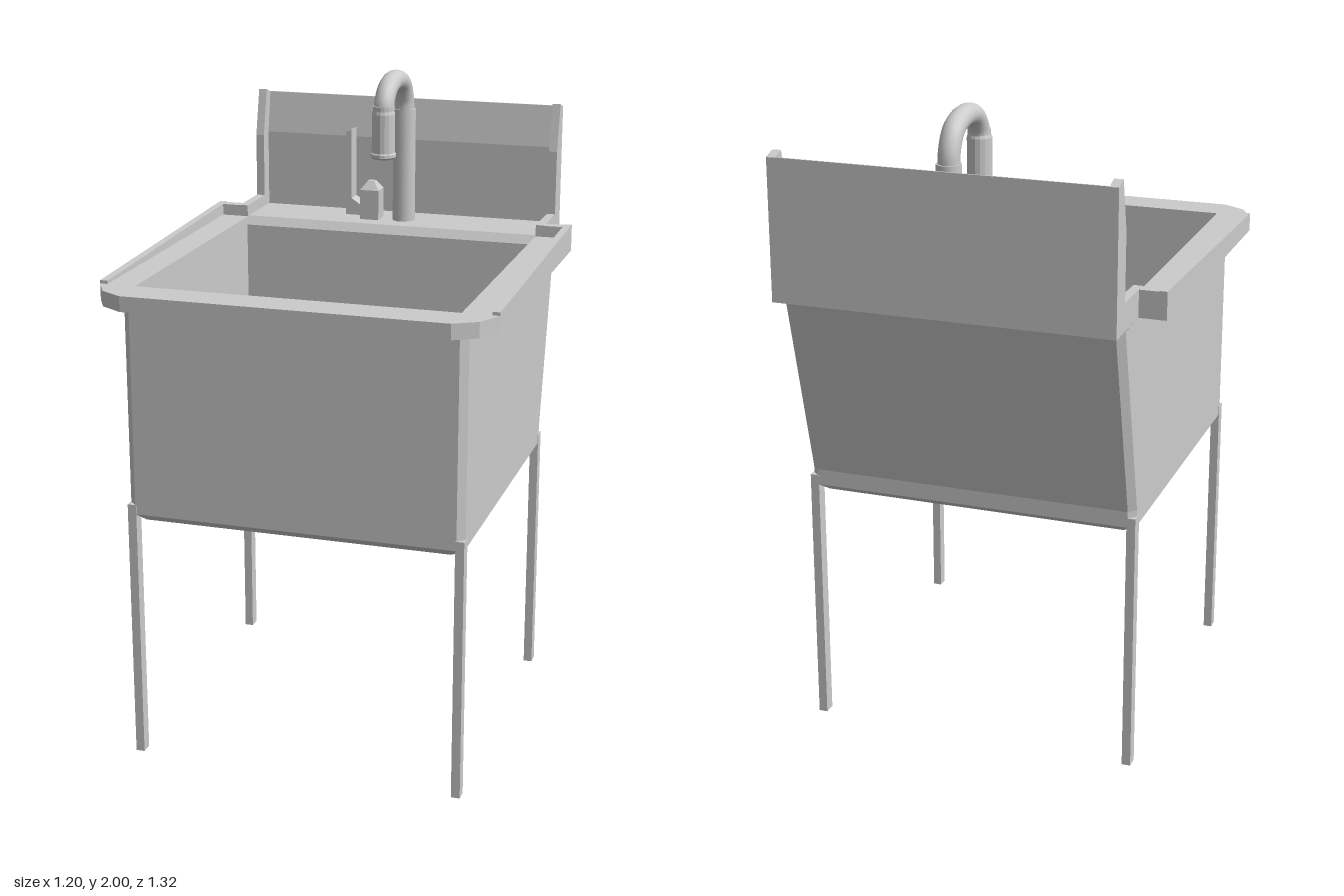
import * as THREE from 'three';

const mat = new THREE.MeshStandardMaterial({ color: 0xcccccc, flatShading: true });
const thin = new THREE.MeshStandardMaterial({ color: 0xcccccc, flatShading: true, side: THREE.DoubleSide });
const smooth = new THREE.MeshStandardMaterial({ color: 0xcccccc });
const TOP = 1.487, LOW = 1.44;

export function createModel() {
  const model = new THREE.Group();
  const add = (name, geo, m = mat) => {
    const mesh = new THREE.Mesh(geo, m);
    mesh.name = name;
    model.add(mesh);
    return mesh;
  };
  const shapeOf = pts => new THREE.Shape(pts.map(p => new THREE.Vector2(...p)));

  // side profile of [z, y] points swept from x0 to x1
  const prism = (pts, x0, x1) =>
    new THREE.ExtrudeGeometry(shapeOf(pts), { depth: x1 - x0, bevelEnabled: false })
      .rotateY(-Math.PI / 2).translate(x1, 0, 0);
  const box = (x0, x1, y0, y1, z0, z1) =>
    new THREE.BoxGeometry(x1 - x0, y1 - y0, z1 - z0)
      .translate((x0 + x1) / 2, (y0 + y1) / 2, (z0 + z1) / 2);
  const triangles = list => {
    const g = new THREE.BufferGeometry();
    g.setAttribute('position', new THREE.Float32BufferAttribute(list.flat(), 3));
    g.computeVertexNormals();
    return g;
  };

  // outer tub: chamfered rectangles lofted upwards, sloping at the back
  const ring = ([y, w, front, back]) => {
    const c = 0.022;
    return [[w, front - c], [w, back + c], [w - c, back], [c - w, back],
      [-w, back + c], [-w, front - c], [c - w, front], [w - c, front]].map(([x, z]) => [x, y, z]);
  };
  const rings = [[0.765, 0.495, 0.555, -0.41], [0.79, 0.518, 0.585, -0.445],
    [0.84, 0.518, 0.585, -0.445], [LOW, 0.518, 0.585, -0.6]].map(ring);
  const tub = [];
  for (let k = 0; k < rings.length - 1; k++) {
    for (let i = 0; i < 8; i++) {
      const j = (i + 1) % 8, a = rings[k], b = rings[k + 1];
      tub.push(a[i], a[j], b[j], a[i], b[j], b[i]);
    }
  }
  for (let i = 1; i < 7; i++) tub.push(rings[0][0], rings[0][i + 1], rings[0][i]);
  add('tubShell', triangles(tub), thin);

  // inner basin walls
  const FLOOR = 0.81, DIP = 0.78;
  const corners = [[0.49, 0.545], [0.49, -0.41], [-0.49, -0.41], [-0.49, 0.545]];
  const walls = [];
  corners.forEach(([x, z], i) => {
    const [u, v] = corners[(i + 1) % 4];
    const h = 1.46;
    walls.push([x, FLOOR, z], [u, h, v], [u, FLOOR, v], [x, FLOOR, z], [x, h, z], [u, h, v]);
  });
  add('basinWalls', triangles(walls), thin);

  // basin floor with a pinwheel hollow leading to the drain
  const cz = 0.065;
  const turn = ([x, z], n) => {
    for (let i = 0; i < n; i++) [x, z] = [-z, x];
    return [x, z];
  };
  const at = (p, n, y) => {
    const [x, z] = turn(p, n);
    return [x, y, z + cz];
  };
  const Q = [0.12, -0.297], R = [0.19, -0.185], B = [0.3, -0.297], P = [0.19, -0.12], S = [0.12, -0.12];
  const outline = [], hollow = [];
  for (let n = 0; n < 4; n++) {
    for (const p of [Q, R, B]) {
      const [x, z] = turn(p, n);
      outline.push(new THREE.Vector2(x, -z - cz));
    }
    const b = at(B, n, FLOOR), r = at(R, n, FLOOR), p = at(P, n, DIP + 0.008), s = at(S, n, DIP);
    const q1 = at(Q, n + 1, FLOOR), r1 = at(R, n + 1, FLOOR), s1 = at(S, n + 1, DIP);
    hollow.push(b, p, r, b, q1, p, q1, r1, p, r, p, s, p, r1, s1, p, s1, s, s, s1, [0, DIP, cz]);
  }
  const floor = shapeOf(corners.map(([x, z]) => [x, -z]));
  floor.holes.push(new THREE.Path(outline));
  add('basinFloor', new THREE.ShapeGeometry(floor).rotateX(-Math.PI / 2).translate(0, FLOOR, 0), thin);
  add('floorHollow', triangles(hollow), thin);
  add('drain', new THREE.CylinderGeometry(0.06, 0.06, 0.004, 8).rotateY(Math.PI / 8).translate(0, DIP + 0.002, cz));

  // rim running round the front and sides with clipped front corners
  const rim = [[0.6, -0.45], [0.6, 0.545], [0.56, 0.62], [0.49, 0.662], [-0.49, 0.662], [-0.56, 0.62],
    [-0.6, 0.545], [-0.6, -0.45], [-0.49, -0.45], [-0.49, 0.545], [0.49, 0.545], [0.49, -0.45]];
  add('rim', new THREE.ExtrudeGeometry(shapeOf(rim.map(([x, z]) => [x, -z])),
    { depth: TOP - LOW, bevelEnabled: false }).rotateX(-Math.PI / 2).translate(0, LOW, 0));

  // faucet deck with a sloped lip into the basin
  add('deck', prism([[-0.41, LOW], [-0.41, 1.46], [-0.43, TOP], [-0.64, TOP], [-0.64, LOW]], -0.49, 0.49));

  // backsplash, leaning back at the top
  add('backsplash', prism([[-0.662, LOW], [-0.632, LOW], [-0.632, 1.735], [-0.657, 1.868], [-0.662, 1.868]], -0.49, 0.49));

  for (const s of [-1, 1]) {
    const span = (a, b) => (s > 0 ? [a, b] : [-b, -a]);
    // rising side ridge and its return at the back
    add('sideRidge', prism([[0.545, TOP], [0.545, 1.497], [-0.45, 1.525], [-0.45, TOP]], ...span(0.577, 0.6)));
    add('ridgeReturn', box(...span(0.49, 0.58), TOP, 1.523, -0.45, -0.415));
    // end panel of the deck and backsplash
    add('endPanel', prism([[-0.415, LOW], [-0.415, 1.524], [-0.585, 1.524], [-0.585, 1.73],
      [-0.62, 1.88], [-0.662, 1.867], [-0.662, LOW]], ...span(0.49, 0.517)));
    // legs
    add('frontLeg', box(...span(0.493, 0.52), 0, 0.82, 0.55, 0.587));
    add('backLeg', box(...span(0.493, 0.52), 0, 0.82, -0.446, -0.407));
  }

  // gooseneck faucet
  const X = 0.02, PZ = -0.525;
  add('faucetRiser', new THREE.CylinderGeometry(0.037, 0.037, 0.37, 16).translate(X, TOP + 0.185, PZ), smooth);
  const neck = new THREE.CatmullRomCurve3([[PZ, 1.84], [-0.52, 1.89], [-0.485, 1.945], [-0.4, 1.968],
    [-0.325, 1.952], [-0.287, 1.91], [-0.28, 1.86]].map(([z, y]) => new THREE.Vector3(X, y, z)));
  add('faucetNeck', new THREE.TubeGeometry(neck, 28, 0.032, 16), smooth);
  const head = [[0, 1.738], [0.035, 1.738], [0.041, 1.744], [0.041, 1.754], [0.037, 1.757],
    [0.037, 1.88], [0.034, 1.89], [0.034, 1.905], [0.02, 1.905]];
  add('sprayHead', new THREE.LatheGeometry(head.map(p => new THREE.Vector2(...p)), 16).translate(X, 0, -0.28), mat);

  // control valve with pyramid cap and upright lever
  add('valveBody', box(-0.12, -0.057, TOP, 1.585, -0.55, -0.487));
  add('valveCap', new THREE.CylinderGeometry(0.016, 0.0445, 0.028, 4).rotateY(Math.PI / 4)
    .translate(-0.0885, 1.599, -0.5185));
  const lever = [[-0.17, 1.5], [-0.12, 1.5], [-0.12, 1.535], [-0.15, 1.555], [-0.15, 1.785], [-0.17, 1.775]];
  add('lever', new THREE.ExtrudeGeometry(shapeOf(lever), { depth: 0.055, bevelEnabled: false }).translate(0, 0, -0.545));

  return model;
}
